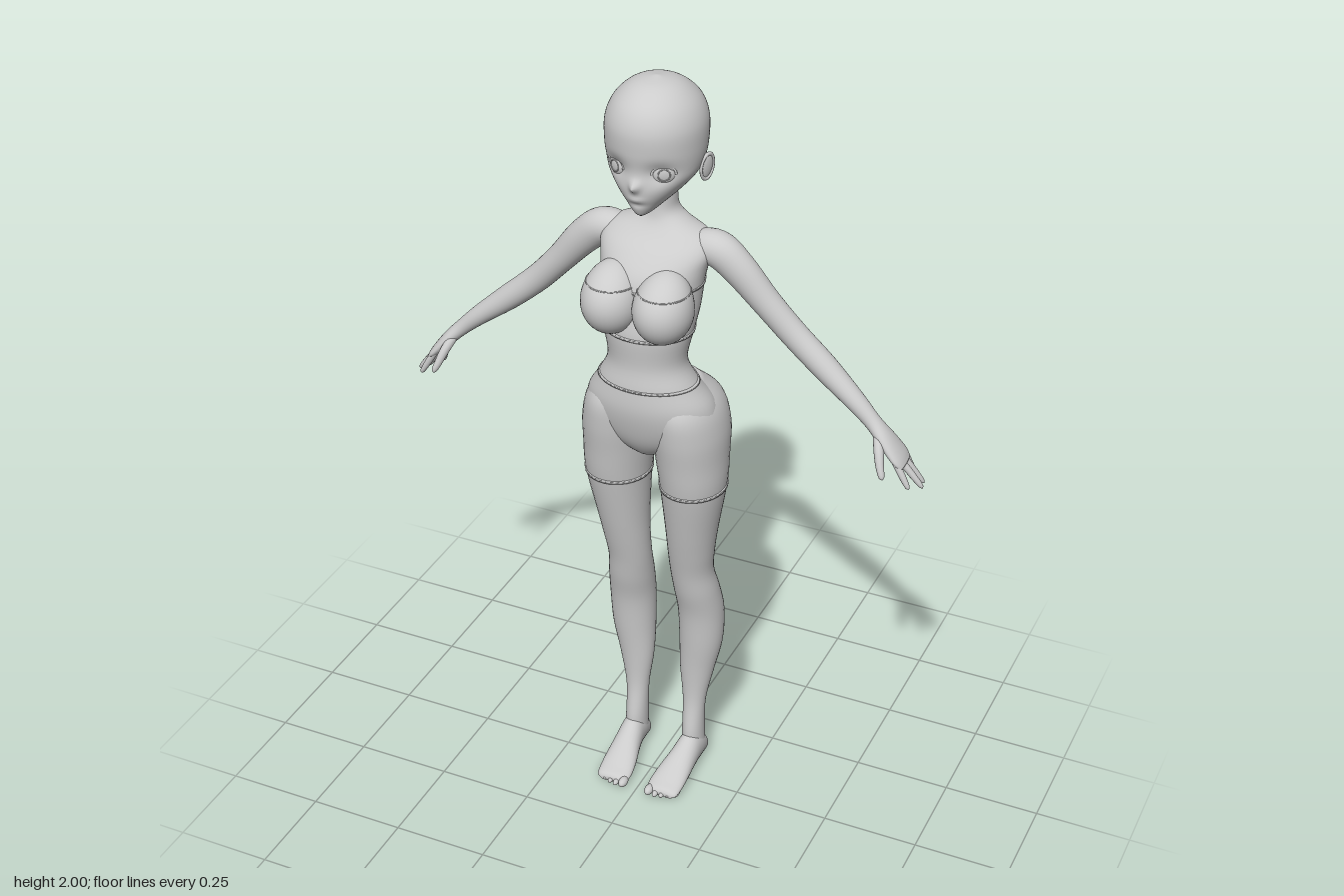
import * as THREE from 'three';

const mat = new THREE.MeshStandardMaterial({ color: 0xcccccc });
const V = (x, y, z) => new THREE.Vector3(x, y, z);

function add(parent, name, geo) {
  const m = new THREE.Mesh(geo, mat);
  m.name = name;
  parent.add(m);
  return m;
}

// Smoothly resample rows of numbers between row t0 and row t1
function resample(rows, count, t0 = 0, t1 = rows.length - 1) {
  const it = new THREE.CubicInterpolant(rows.map((_, i) => i), rows.flat(), rows[0].length, new Float32Array(rows[0].length));
  return Array.from({ length: count + 1 }, (_, i) => Array.from(it.evaluate(t0 + (t1 - t0) * i / count)));
}

// Ellipse of points around c
function ring(c, u, v, ru, rv, n) {
  return Array.from({ length: n }, (_, k) => {
    const a = k / n * Math.PI * 2;
    return c.clone().addScaledVector(u, ru * Math.cos(a)).addScaledVector(v, rv * Math.sin(a));
  });
}

// Closed skin over a list of rings
function skin(rings) {
  const n = rings[0].length, pts = rings.flat(), idx = [];
  for (let i = 0; i < rings.length - 1; i++) for (let k = 0; k < n; k++) {
    const a = i * n + k, b = i * n + (k + 1) % n;
    idx.push(a, a + n, b, b, a + n, b + n);
  }
  const centre = r => r.reduce((s, p) => s.add(p), V(0, 0, 0)).divideScalar(n);
  const last = (rings.length - 1) * n, c0 = pts.length;
  pts.push(centre(rings[0]), centre(rings[rings.length - 1]));
  for (let k = 0; k < n; k++) {
    const k1 = (k + 1) % n;
    idx.push(c0, k, k1, c0 + 1, last + k1, last + k);
  }
  const g = new THREE.BufferGeometry().setFromPoints(pts);
  g.setIndex(idx);
  g.computeVertexNormals();
  return g;
}

// Upright form from rows of [y, centreX, halfWidth, frontZ, backZ]
function upright(rows, count, n, t0, t1, grow = 0) {
  return skin(resample(rows, count, t0, t1).map(([y, cx, w, f, b]) =>
    ring(V(cx, y, (f + b) / 2), V(1, 0, 0), V(0, 0, 1), Math.max(w, 0.001) + grow, Math.max((f - b) / 2, 0.001) + grow, n)));
}

// Limb along a path from rows of [x, y, z, radius across z, other radius]
function limb(rows, count, n) {
  const s = resample(rows, count), p = s.map(r => V(r[0], r[1], r[2]));
  return skin(s.map((r, i) => {
    const t = p[Math.min(i + 1, count)].clone().sub(p[Math.max(i - 1, 0)]).normalize();
    const u = V(0, 0, 1).addScaledVector(t, -t.z).normalize();
    return ring(p[i], u, u.clone().cross(t), Math.max(r[3], 0.001), Math.max(r[4], 0.001), n);
  }));
}

const TORSO = [
  [1.015, 0, .01, .02, -.03], [1.03, 0, .05, .05, -.06], [1.07, 0, .125, .08, -.10], [1.12, 0, .168, .10, -.125],
  [1.18, 0, .162, .113, -.113], [1.24, 0, .125, .112, -.077], [1.30, 0, .099, .106, -.06], [1.38, 0, .113, .113, -.08],
  [1.44, 0, .122, .105, -.10], [1.50, 0, .127, .10, -.113], [1.54, 0, .133, .085, -.118], [1.58, 0, .142, .052, -.12],
  [1.61, 0, .128, .018, -.115], [1.635, 0, .075, -.002, -.108], [1.66, 0, .043, -.01, -.103], [1.70, 0, .037, -.012, -.10],
  [1.77, 0, .037, -.01, -.095]];
const LEG = [
  [.04, .085, .030, -.055, -.125], [.10, .083, .029, -.05, -.128], [.20, .083, .031, -.063, -.122], [.30, .087, .046, -.06, -.138],
  [.40, .096, .058, -.05, -.155], [.50, .097, .061, -.038, -.156], [.58, .092, .060, -.018, -.136], [.65, .087, .057, -.003, -.112],
  [.72, .090, .061, .015, -.104], [.80, .095, .068, .035, -.107], [.93, .102, .083, .065, -.12], [1.02, .098, .090, .08, -.138],
  [1.10, .093, .093, .093, -.152], [1.17, .086, .080, .095, -.138], [1.23, .065, .05, .07, -.08]];
const HEAD = [
  [1.685, 0, .004, .062, .05], [1.695, 0, .022, .074, .005], [1.72, 0, .050, .085, -.06], [1.75, 0, .080, .092, -.10],
  [1.78, 0, .104, .093, -.125], [1.81, 0, .115, .092, -.142], [1.85, 0, .120, .098, -.155], [1.90, 0, .119, .099, -.158],
  [1.94, 0, .105, .085, -.146], [1.97, 0, .080, .058, -.117], [1.99, 0, .048, .022, -.08], [2.0, 0, .004, -.025, -.032]];

// Skull with eye sockets, nose and lips pushed out of the surface
function headGeometry() {
  const g = upright(HEAD, 70, 80), p = g.attributes.position;
  const bump = (x, y, w, h) => Math.exp(-(x * x) / (w * w) - (y * y) / (h * h));
  for (let i = 0; i < p.count; i++) {
    const x = p.getX(i), y = p.getY(i), z = p.getZ(i);
    if (z < 0.02) continue;
    p.setZ(i, z - .014 * bump(Math.abs(x) - .055, y - 1.803, .028, .026)
      + .018 * bump(x, y - 1.772, .011, .013) + .004 * bump(x, y - 1.737, .018, .007)
      - .004 * bump(x, y - 1.722, .02, .007));
  }
  g.computeVertexNormals();
  return g;
}

function buildFace(head, s) {
  // Large eyes with iris rim and upper lid
  const eye = new THREE.Group();
  eye.name = 'eye';
  eye.position.set(s * .057, 1.803, .059);
  eye.rotation.y = s * .5;
  head.add(eye);
  add(eye, 'eyeball', new THREE.SphereGeometry(1, 24, 16)).scale.set(.028, .025, .012);
  add(eye, 'iris', new THREE.TorusGeometry(.014, .0015, 6, 24)).position.z = .0105;
  const lid = add(eye, 'upperLid', new THREE.TorusGeometry(.028, .003, 8, 24, Math.PI));
  lid.scale.y = .85;
  lid.position.z = .006;
  // Ear shell and rim
  const ear = new THREE.Group();
  ear.name = 'ear';
  ear.position.set(s * .117, 1.79, -.045);
  ear.rotation.set(.2, s * 1.15, s * -.25);
  head.add(ear);
  add(ear, 'earShell', new THREE.SphereGeometry(1, 20, 14)).scale.set(.02, .034, .008);
  const rim = add(ear, 'earRim', new THREE.TorusGeometry(1, .16, 8, 28));
  rim.scale.set(.019, .032, .025);
  rim.position.z = .004;
}

function buildArm(body, s) {
  const arm = new THREE.Group();
  arm.name = s > 0 ? 'leftArm' : 'rightArm';
  body.add(arm);
  const side = rows => rows.map(r => [r[0] * s, ...r.slice(1)]);
  add(arm, 'armAndPalm', limb(side([
    [.08, 1.575, -.05, .04, .038], [.145, 1.58, -.05, .044, .045], [.20, 1.54, -.051, .038, .043], [.27, 1.46, -.06, .034, .036],
    [.34, 1.385, -.068, .032, .034], [.42, 1.315, -.068, .032, .032], [.50, 1.25, -.06, .026, .025], [.55, 1.205, -.055, .022, .020],
    [.585, 1.17, -.053, .033, .018], [.62, 1.13, -.055, .041, .014], [.637, 1.112, -.057, .034, .008]]), 60, 28));
  // Four fingers: root z, tip x, y, z
  for (const [rz, x, y, z] of [[-.027, .660, 1.062, -.022], [-.047, .684, 1.052, -.057], [-.066, .676, 1.045, -.09], [-.084, .643, 1.056, -.112]]) {
    const r = .0088, at = (k, rad) => [.618 + (x - .618) * k, 1.132 + (y - 1.132) * k, rz + (z - rz) * k, rad, rad];
    add(arm, 'finger', limb(side([at(0, r), at(.4, r), at(.75, r * .85), at(.94, r * .6), at(1, .001)]), 16, 12));
  }
  add(arm, 'thumb', limb(side([[.57, 1.18, -.04, .012, .012], [.583, 1.15, -.015, .013, .012], [.593, 1.122, .002, .01, .01],
    [.602, 1.10, .011, .007, .007], [.605, 1.094, .013, .001, .001]]), 16, 12));
}

function buildLeg(body, s) {
  const leg = new THREE.Group();
  leg.name = s > 0 ? 'leftLeg' : 'rightLeg';
  body.add(leg);
  const rows = LEG.map(r => [r[0], r[1] * s, ...r.slice(2)]);
  add(leg, 'legSkin', upright(rows, 70, 36));
  add(leg, 'shortsHem', upright(rows, 2, 36, 9.96, 10.04, .0025));
  // Foot rows: z, centreX, halfWidth, top
  const foot = resample([[-.138, .085, .010, .03], [-.125, .085, .026, .062], [-.095, .085, .031, .095], [-.06, .084, .033, .10],
    [-.02, .081, .037, .082], [.03, .076, .044, .056], [.07, .073, .046, .036], [.095, .073, .042, .025], [.103, .073, .03, .016]], 36);
  add(leg, 'foot', skin(foot.map(([z, cx, w, top]) =>
    ring(V(cx * s, top / 2, z), V(1, 0, 0), V(0, -1, 0), w, top / 2, 28)
      .map(p => V(p.x, Math.max(p.y, .004), p.z)))));
  for (let i = 0; i < 5; i++) {
    const r = i ? .0085 - i * .0004 : .012;
    const toe = add(leg, 'toe', new THREE.SphereGeometry(1, 14, 10));
    toe.scale.set(r, r, .02);
    toe.position.set(s * (i ? .040 + i * .0172 : .038), r, .099 - i * i * .0014);
  }
}

export function createModel() {
  const body = new THREE.Group();
  body.name = 'figure';
  add(body, 'torsoAndNeck', upright(TORSO, 90, 56));
  // Garment edges at waist, under the bust and across the back
  for (const [name, t] of [['waistHem', 5], ['topLowerHem', 7], ['topUpperHem', 9]])
    add(body, name, upright(TORSO, 2, 56, t - .05, t + .05, .0025));
  const head = new THREE.Group();
  head.name = 'head';
  body.add(head);
  add(head, 'skull', headGeometry());
  for (const s of [1, -1]) {
    buildFace(head, s);
    buildArm(body, s);
    buildLeg(body, s);
    // Cup of the top, tapering into the upper chest
    const cup = new THREE.SphereGeometry(1, 36, 28), p = cup.attributes.position;
    for (let i = 0; i < p.count; i++) {
      const up = Math.max(p.getY(i), 0);
      p.setXYZ(i, p.getX(i) * .073, p.getY(i) * .083 + up * .012, p.getZ(i) * .080 - up * up * .022);
    }
    cup.computeVertexNormals();
    add(body, 'bustCup', cup).position.set(s * .067, 1.462, .082);
    const edge = add(body, 'cupEdge', new THREE.TorusGeometry(1, .03, 6, 40));
    edge.rotation.x = Math.PI / 2;
    edge.scale.set(.062, .067, .06);
    edge.position.set(s * .067, 1.512, .076);
  }
  return body;
}
